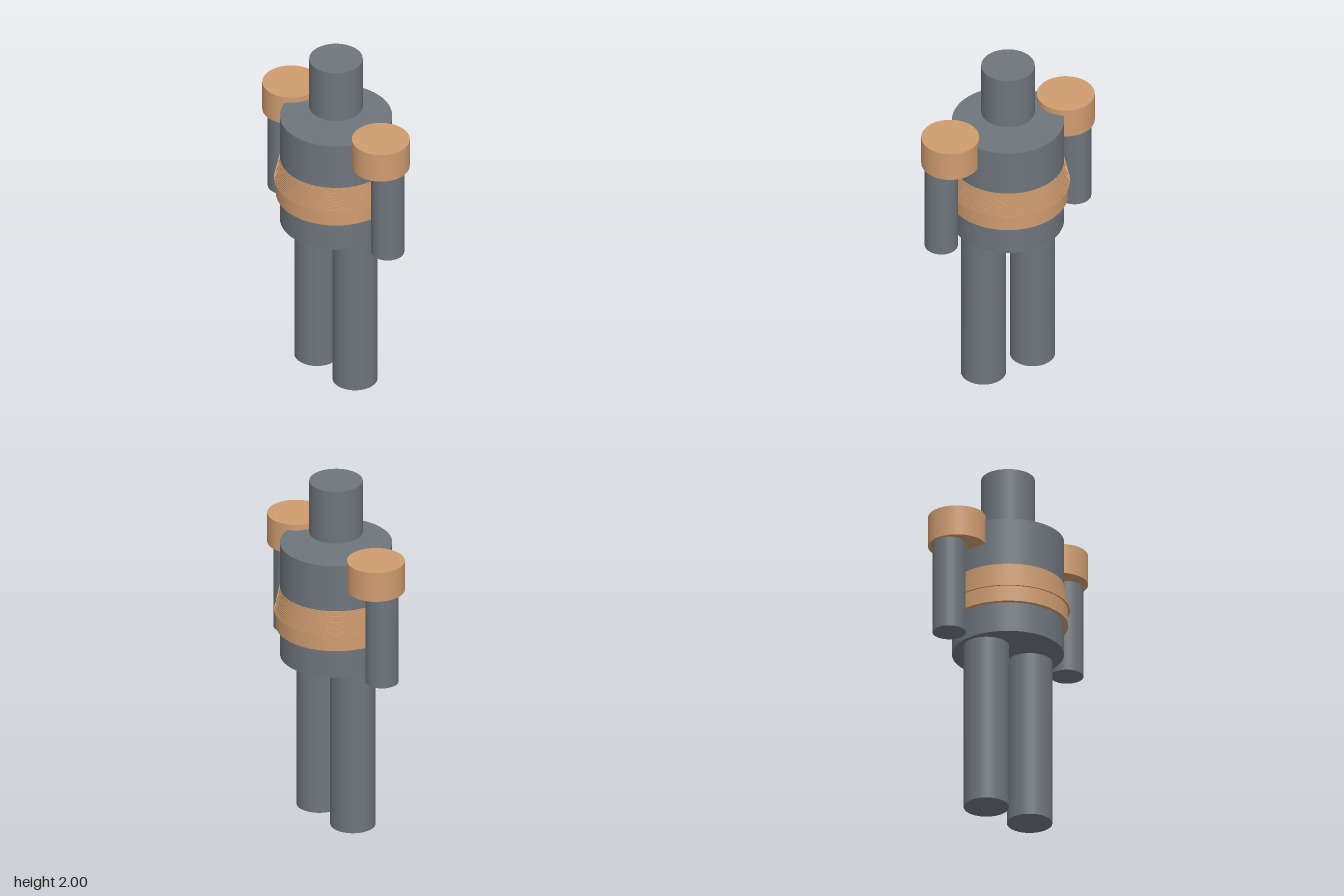
import * as THREE from 'three';

export function createModel() {
  const model = new THREE.Group();
  const grey = new THREE.MeshStandardMaterial({ color: 0x6e757c });
  grey.name = 'slate grey';
  const tan = new THREE.MeshStandardMaterial({ color: 0xcf9c70 });
  tan.name = 'tan';

  // Upright cylinder between two heights
  function column(name, material, radius, bottom, top, x = 0, parent = model) {
    const mesh = new THREE.Mesh(
      new THREE.CylinderGeometry(radius, radius, top - bottom, 64), material);
    mesh.name = name;
    mesh.position.set(x, (bottom + top) / 2, 0);
    parent.add(mesh);
  }

  // Head floats just above the body
  column('head', grey, 0.145, 1.69, 2);
  column('torso', grey, 0.304, 0.96, 1.63);

  // Limbs, mirrored
  for (const [side, s] of [['left', 1], ['right', -1]]) {
    column(side + 'Leg', grey, 0.123, 0, 0.96, s * 0.157);
    column(side + 'Arm', grey, 0.09, 0.96, 1.49, s * 0.427);
    column(side + 'Shoulder', tan, 0.157, 1.49, 1.663, s * 0.37);
  }

  // Belt with a stack of thin discs narrowing upward
  column('belt', tan, 0.326, 1.13, 1.22);
  const waistRings = new THREE.Group();
  waistRings.name = 'waistRings';
  model.add(waistRings);
  const count = 14;
  const step = 0.01;
  for (let i = 0; i < count; i++) {
    const radius = 0.335 - (0.029 * i) / (count - 1);
    const bottom = 1.22 + i * step;
    column('waistRing' + (i + 1), tan, radius, bottom, bottom + step, 0, waistRings);
  }

  return model;
}
